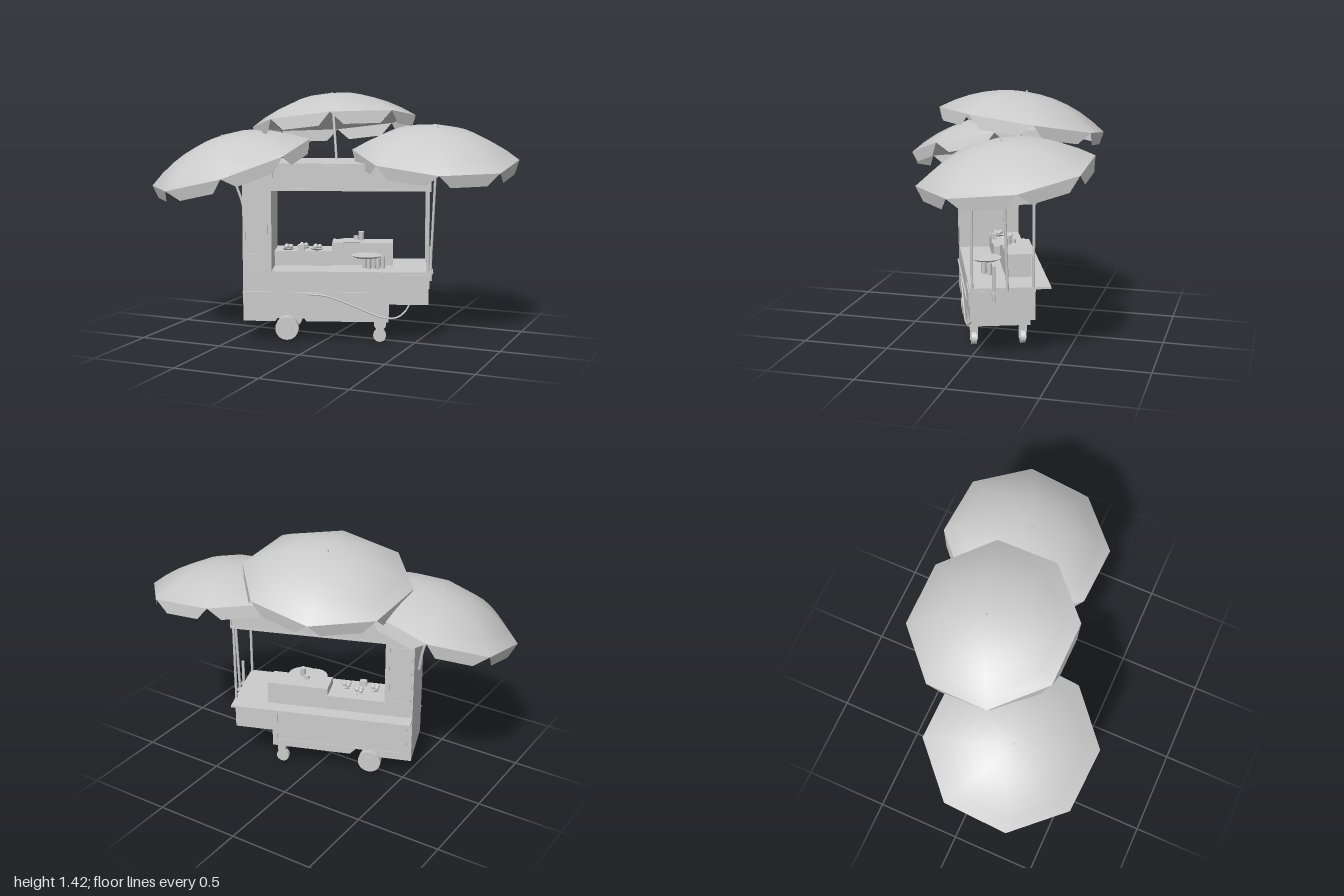
import * as THREE from 'three';

const grey = new THREE.MeshStandardMaterial({ color: 0xcccccc });
const thin = new THREE.MeshStandardMaterial({ color: 0xcccccc, side: THREE.DoubleSide });
const V = (x, y, z) => new THREE.Vector3(x, y, z);

function add(parent, name, geometry, material = grey) {
  const mesh = new THREE.Mesh(geometry, material);
  mesh.name = name;
  parent.add(mesh);
  return mesh;
}

// Box given by its limits on each axis
function box(parent, name, x0, x1, y0, y1, z0, z1) {
  const mesh = add(parent, name, new THREE.BoxGeometry(x1 - x0, y1 - y0, z1 - z0));
  mesh.position.set((x0 + x1) / 2, (y0 + y1) / 2, (z0 + z1) / 2);
  return mesh;
}

function cylinder(parent, name, r, h, x, y, z, rTop = r, sides = 16) {
  const mesh = add(parent, name, new THREE.CylinderGeometry(rTop, r, h, sides));
  mesh.position.set(x, y, z);
  return mesh;
}

function tube(parent, name, points, r) {
  const curve = new THREE.CatmullRomCurve3(points);
  return add(parent, name, new THREE.TubeGeometry(curve, points.length * 8, r, 8, false), thin);
}

// Rectangular frame on a front (side 1) or back (side -1) face
function frame(parent, name, x0, x1, y0, y1, side) {
  const w = 0.006, a = side > 0 ? 0.178 : -0.184, b = a + 0.006;
  box(parent, name, x0, x1, y0, y0 + w, a, b);
  box(parent, name, x0, x1, y1 - w, y1, a, b);
  box(parent, name, x0, x0 + w, y0, y1, a, b);
  box(parent, name, x1 - w, x1, y0, y1, a, b);
}

// Eight-sided dome with trapezoid flaps hanging from the rim
function umbrella(parent, name, center, normal) {
  const group = new THREE.Group();
  group.name = name;
  group.position.copy(center);
  group.quaternion.setFromUnitVectors(V(0, 1, 0), normal.clone().normalize());
  const R = 0.482, H = 0.16, N = 8, rings = 6;
  const rib = (i, r, y) => {
    const a = (i / N) * Math.PI * 2 + Math.PI / 8 + 0.035;
    return V(Math.cos(a) * r, y, Math.sin(a) * r);
  };
  const pos = [0, H, 0], index = [];
  for (let k = 1; k <= rings; k++) {
    const t = k / rings;
    for (let i = 0; i < N; i++) pos.push(...rib(i, R * t, H * (1 - t ** 2.15)).toArray());
  }
  for (let i = 0; i < N; i++) {
    const j = (i + 1) % N;
    index.push(0, 1 + j, 1 + i);
    for (let k = 0; k < rings - 1; k++) {
      const a = 1 + k * N + i, b = 1 + k * N + j;
      index.push(a, b, a + N, b, b + N, a + N);
    }
  }
  const dome = new THREE.BufferGeometry();
  dome.setAttribute('position', new THREE.Float32BufferAttribute(pos, 3));
  dome.setIndex(index);
  dome.computeVertexNormals();
  add(group, 'canopy', dome, thin);

  const flaps = [];
  for (let i = 0; i < N; i++) {
    const a = rib(i, R, 0), b = rib(i + 1, R, 0);
    const c = a.clone().lerp(b, 0.2), d = a.clone().lerp(b, 0.8);
    c.y = d.y = -0.07;
    for (const p of [a, b, c, b, d, c]) flaps.push(p.x, p.y, p.z);
  }
  const valance = new THREE.BufferGeometry();
  valance.setAttribute('position', new THREE.Float32BufferAttribute(flaps, 3));
  valance.computeVertexNormals();
  add(group, 'valance', valance, thin);
  cylinder(group, 'finial', 0.006, 0.014, 0, H + 0.004, 0, 0.004, 8);
  parent.add(group);
}

function buildBody(cart) {
  // Lower body: core plus two side skins cut out for the wheels
  box(cart, 'bodyCore', -0.53, 0.305, 0.122, 0.41, -0.11, 0.11);
  const skin = new THREE.Shape([
    [-0.53, 0.122], [-0.345, 0.122], [-0.32, 0.16], [-0.2, 0.16], [-0.165, 0.122],
    [0.305, 0.122], [0.305, 0.41], [-0.53, 0.41],
  ].map(p => new THREE.Vector2(...p)));
  for (const z of [-0.18, 0.11]) {
    const geometry = new THREE.ExtrudeGeometry(skin, { depth: 0.07, bevelEnabled: false });
    add(cart, 'bodySide', geometry).position.z = z;
  }
  box(cart, 'bodyExtension', 0.305, 0.53, 0.225, 0.41, -0.18, 0.18);
  box(cart, 'drawer', 0.335, 0.535, 0.32, 0.395, 0.1, 0.188);
  box(cart, 'trimRail', -0.532, 0.315, 0.284, 0.293, 0.178, 0.188);
  box(cart, 'counterTop', -0.53, 0.533, 0.402, 0.413, -0.182, 0.182);
  box(cart, 'backShelf', -0.53, 0.53, 0.4, 0.413, -0.265, -0.178);
  frame(cart, 'backPanel', -0.5, 0.28, 0.165, 0.375, -1);

  // Cupboard, roof and posts
  box(cart, 'cupboard', -0.53, -0.365, 0.4, 1.03, -0.18, 0.18);
  box(cart, 'roof', -0.365, 0.54, 0.875, 1.03, -0.18, 0.18);
  for (const side of [1, -1]) {
    frame(cart, 'cupboardDoor', -0.517, -0.385, 0.51, 0.86, side);
    frame(cart, 'roofPanel', -0.36, 0.535, 0.882, 1.022, side);
    cylinder(cart, 'post', 0.008, 0.465, 0.525, 0.643, side * 0.168, 0.008, 10);
  }
  tube(cart, 'hose', [
    V(-0.16, 0.283, 0.187), V(-0.05, 0.272, 0.19), V(0.12, 0.21, 0.19),
    V(0.27, 0.152, 0.19), V(0.35, 0.15, 0.18), V(0.4, 0.185, 0.165), V(0.425, 0.23, 0.16),
  ], 0.005);
  cylinder(cart, 'poleHolder', 0.009, 0.2, 0.545, 0.44, 0.05, 0.009, 10);
  for (const z of [0.05, -0.025])
    box(cart, 'poleBracket', 0.525, 0.56, 0.38, 0.395, z - 0.012, z + 0.012);
}

function buildWheels(cart) {
  for (const s of [1, -1]) {
    const wheel = cylinder(cart, 'wheel', 0.067, 0.05, -0.28, 0.077, s * 0.15, 0.067, 24);
    wheel.rotation.x = Math.PI / 2;
    const hub = cylinder(cart, 'wheelHub', 0.035, 0.062, -0.28, 0.077, s * 0.15, 0.035, 20);
    hub.rotation.x = Math.PI / 2;
    const caster = cylinder(cart, 'casterWheel', 0.037, 0.03, 0.253, 0.037, s * 0.14, 0.037, 20);
    caster.rotation.x = Math.PI / 2;
    box(cart, 'casterMount', 0.232, 0.28, 0.08, 0.125, s * 0.14 - 0.022, s * 0.14 + 0.022);
    for (const t of [1, -1]) {
      const z = s * 0.14 + t * 0.019;
      box(cart, 'casterFork', 0.238, 0.27, 0.03, 0.09, z - 0.003, z + 0.003);
    }
  }
  const axle = cylinder(cart, 'axle', 0.01, 0.28, -0.28, 0.077, 0);
  axle.rotation.x = Math.PI / 2;
}

function buildFood(cart) {
  box(cart, 'lowCabinet', -0.365, -0.03, 0.41, 0.5, -0.18, 0);
  box(cart, 'highCabinet', -0.03, 0.327, 0.41, 0.545, -0.18, -0.035);
  cylinder(cart, 'plate', 0.05, 0.01, 0.083, 0.552, -0.06, 0.085, 24);
  cylinder(cart, 'cup', 0.014, 0.055, 0.14, 0.58, -0.07, 0.018);
  cylinder(cart, 'smallCup', 0.016, 0.025, 0.11, 0.565, -0.1, 0.016);
  // Round tray standing on jars
  cylinder(cart, 'tray', 0.07, 0.012, 0.174, 0.485, 0.063, 0.088, 24);
  for (let i = 0; i < 5; i++)
    cylinder(cart, 'jar', 0.013, 0.07, 0.16 + 0.027 * i, 0.447, i % 2 ? 0.08 : 0.05, 0.013, 12);
  // Dishes with food on the low cabinet
  for (let i = 0; i < 3; i++) {
    const x = -0.29 + i * 0.085, z = -0.05 - (i % 2) * 0.05;
    cylinder(cart, 'dish', 0.028, 0.01, x, 0.506, z, 0.042, 16);
    for (let k = 0; k < 3; k++) {
      const bun = add(cart, 'bun', new THREE.SphereGeometry(0.014, 10, 8));
      bun.position.set(x + Math.cos(k * 2.1) * 0.017, 0.52, z + Math.sin(k * 2.1) * 0.017);
    }
  }
  box(cart, 'napkinBox', -0.23, -0.19, 0.5, 0.535, -0.03, 0);
}

export function createModel() {
  const model = new THREE.Group();
  model.name = 'foodCart';

  const cart = new THREE.Group();
  cart.name = 'cart';
  cart.position.x = 0.015;
  cart.rotation.y = THREE.MathUtils.degToRad(20);
  model.add(cart);
  buildBody(cart);
  buildWheels(cart);
  buildFood(cart);

  // Umbrellas lean outwards, each on its own pole
  umbrella(model, 'rightUmbrella', V(0.545, 1.067, -0.205), V(0.11, 1, 0.125));
  umbrella(model, 'middleUmbrella', V(-0.065, 1.25, -0.145), V(-0.13, 1, -0.13));
  umbrella(model, 'leftUmbrella', V(-0.575, 1.016, 0.197), V(-0.246, 1, 0.202));
  tube(model, 'rightPole', [V(0.52, 0.39, -0.21), V(0.548, 0.95, -0.197), V(0.56, 1.22, -0.187)], 0.008);
  tube(model, 'middlePole', [V(-0.036, 1.02, -0.116), V(-0.085, 1.4, -0.165)], 0.008);
  tube(model, 'leftPole', [V(-0.495, 0.65, 0.165), V(-0.515, 0.78, 0.168), V(-0.55, 0.89, 0.18), V(-0.61, 1.165, 0.225)], 0.008);
  return model;
}
